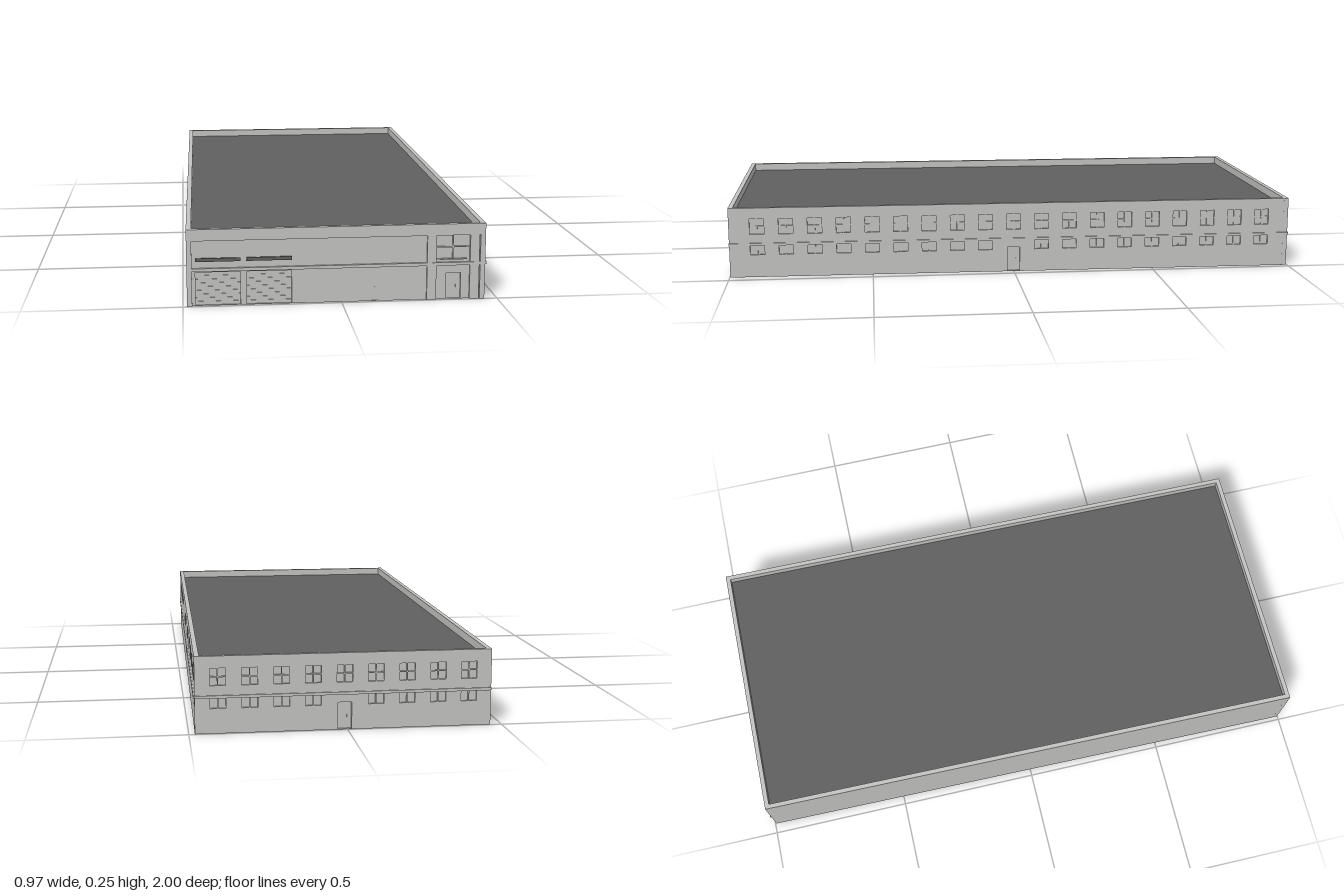
import * as THREE from 'three';

const H = 0.247, T = 0.016;
function flat(name, color) {
  const m = new THREE.MeshStandardMaterial({ color });
  m.name = name;
  return m;
}
const concrete = flat('concrete', 0xc4c4c1);
const charcoal = flat('charcoal', 0x606060);
const ceilingGrey = flat('ceilingGrey', 0xb4b4b2);

// plan corners [x, z] of the slightly skewed block
const frontLeft = [0.459, 0.998], backLeft = [0.481, -0.996];
const backRight = [-0.464, -0.996], frontRight = [-0.487, 0.998];

// box given by its two extremes
function box(parent, name, x0, x1, y0, y1, z0, z1, mat = concrete) {
  const m = new THREE.Mesh(new THREE.BoxGeometry(x1 - x0, y1 - y0, z1 - z0), mat);
  m.position.set((x0 + x1) / 2, (y0 + y1) / 2, (z0 + z1) / 2);
  m.name = name;
  parent.add(m);
}

// wall from p to q: local x runs along it, local +z points outward
function wall(name, p, q, holes = [], face = 0) {
  const g = new THREE.Group();
  g.name = name;
  const dx = q[0] - p[0], dz = q[1] - p[1], len = Math.hypot(dx, dz);
  g.position.set(p[0], 0, p[1]);
  g.rotation.y = Math.atan2(-dz, dx);
  const s = new THREE.Shape([[0, 0], [len, 0], [len, H], [0, H]].map(c => new THREE.Vector2(...c)));
  for (const [x0, x1, y0, y1] of holes) {
    s.holes.push(new THREE.Path([[x0, y0], [x0, y1], [x1, y1], [x1, y0]].map(c => new THREE.Vector2(...c))));
  }
  const geo = new THREE.ExtrudeGeometry(s, { depth: T + face, bevelEnabled: false });
  geo.translate(0, 0, -T);
  const m = new THREE.Mesh(geo, concrete);
  m.name = name + 'Shell';
  g.add(m);
  g.userData.length = len;
  return g;
}

// recessed pane with mullion and optional transom
function windowFill(g, [x0, x1, y0, y1], transom, depth = 0.007) {
  const xm = (x0 + x1) / 2, ym = (y0 + y1) / 2;
  box(g, 'windowPane', x0, x1, y0, y1, -T, -depth);
  box(g, 'windowMullion', xm - 0.002, xm + 0.002, y0, y1, -depth, -depth + 0.004);
  if (transom) box(g, 'windowTransom', x0, x1, ym - 0.002, ym + 0.002, -depth, -depth + 0.004);
}

function doorFill(g, [x0, x1, , y1], depth) {
  const xm = (x0 + x1) / 2;
  box(g, 'doorLeaf', x0, x1, 0, y1, -depth - 0.004, -depth);
  box(g, 'doorHandle', xm + 0.008, xm + 0.010, 0.036, 0.046, -depth, -depth + 0.003);
}

// two storeys of evenly spaced windows around one central door
function windowWall(name, p, q, half) {
  const len = Math.hypot(q[0] - p[0], q[1] - p[1]), mid = len / 2;
  const door = [mid - 0.022, mid + 0.022, 0.001, 0.088];
  const upper = [], lower = [];
  for (let i = -half; i <= half; i++) {
    const c = mid + i * 0.1;
    upper.push([c - 0.025, c + 0.025, 0.153, 0.208]);
    if (i !== 0) lower.push([c - 0.025, c + 0.025, 0.08, 0.113]);
  }
  const g = wall(name, p, q, [door, ...upper, ...lower]);
  upper.forEach(w => windowFill(g, w, true));
  lower.forEach(w => windowFill(g, w, false));
  doorFill(g, door, 0.013);
  box(g, 'stringCourse', 0, len, 0.113, 0.122, -0.002, 0.004);
  return g;
}

function frontWall() {
  const off = -frontRight[0], face = 0.007;
  const at = (x0, x1, y0, y1) => [x0 + off, x1 + off, y0, y1];
  const garages = [at(-0.46, -0.319, 0.001, 0.108), at(-0.299, -0.158, 0.001, 0.108)];
  const entrance = at(0.335, 0.382, 0.001, 0.085), sideDoor = at(0.08, 0.115, 0.001, 0.088);
  const bay = at(0.302, 0.41, 0.132, 0.21);
  // base wall sits slightly behind the raised frame
  const g = wall('frontWall', frontRight, frontLeft, [...garages, entrance, sideDoor, bay], -face);
  const len = g.userData.length;
  for (const d of garages) {
    box(g, 'garageDoor', d[0], d[1], 0, d[3], -T - 0.002, -0.014);
    for (let i = 1; i < 9; i++) {
      box(g, 'garageDoorSlat', d[0], d[1], i * 0.012 - 0.001, i * 0.012 + 0.001, -0.014, -0.0125);
    }
    box(g, 'darkStrip', d[0], d[1], 0.143, 0.154, -face, -0.002, charcoal);
  }
  doorFill(g, entrance, 0.014);
  doorFill(g, sideDoor, 0.0105);
  windowFill(g, bay, true, 0.011);
  box(g, 'baySill', bay[0] + 0.013, bay[1] - 0.01, 0.13, 0.133, -0.011, -0.003);
  // raised frame: parapet band, string course and pillars
  box(g, 'parapetBand', 0, len, 0.21, H, -face, 0);
  box(g, 'stringCourse', 0, len, 0.112, 0.122, -face, 0.001);
  for (const x of [0.272, 0.41]) box(g, 'pillar', x + off, x + 0.03 + off, 0, 0.21, -face, 0);
  return g;
}

// horizontal slab filling the plan inside the walls
function slab(name, y, depth, mat) {
  const plan = [[frontRight, 1, -1], [frontLeft, -1, -1], [backLeft, -1, 1], [backRight, 1, 1]]
    .map(([c, sx, sz]) => new THREE.Vector2(c[0] + sx * 0.015, -(c[1] + sz * 0.015)));
  const geo = new THREE.ExtrudeGeometry(new THREE.Shape(plan), { depth, bevelEnabled: false });
  geo.rotateX(-Math.PI / 2);
  const m = new THREE.Mesh(geo, mat);
  m.name = name;
  m.position.y = y;
  return m;
}

export function createModel() {
  const model = new THREE.Group();
  model.name = 'warehouse';
  // roof sunk below the parapet, open interior beneath
  model.add(
    frontWall(),
    windowWall('leftWall', frontLeft, backLeft, 9),
    windowWall('backWall', backLeft, backRight, 4),
    wall('rightWall', backRight, frontRight),
    slab('roof', 0.215, 0.005, charcoal),
    slab('ceiling', 0.21, 0.005, ceilingGrey)
  );
  return model;
}
